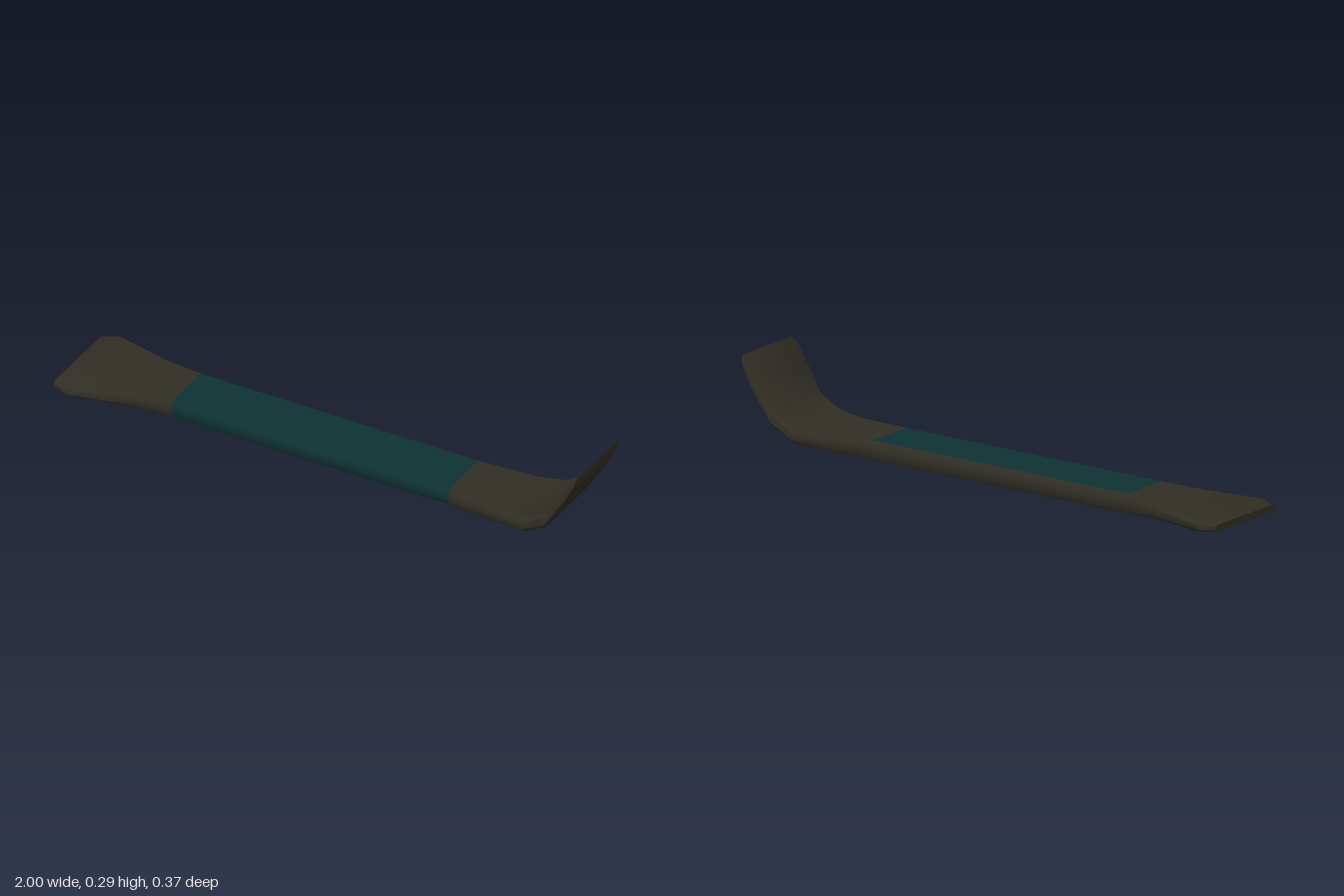
import * as THREE from 'three';
import { toCreasedNormals } from 'three/addons/utils/BufferGeometryUtils.js';

// Cross-sections along the bar: x, underside y, top y, half width
const SECTIONS = [
  [-1, 0.026, 0.05, 0.163],
  [-0.94, 0.021, 0.055, 0.187],
  [-0.72, 0.011, 0.066, 0.125],
  [-0.58, 0.003, 0.072, 0.105],
  [0.49, 0.003, 0.072, 0.105],
  [0.7, 0.011, 0.066, 0.129],
  [0.8, 0.019, 0.075, 0.143],
  [0.88, 0.063, 0.118, 0.145],
  [0.94, 0.156, 0.204, 0.153],
  [0.987, 0.24, 0.274, 0.153],
  [1, 0.265, 0.293, 0.145],
];
const GRIP_SEGMENT = 3;
const PAINTED_SIDES = [7, 0, 1, 2]; // front bevels, front side and top

// Bevelled rectangle, starting at the lower front corner
function ring([x, lo, hi, w]) {
  const v = (hi - lo) * 0.27, h = 0.011;
  return [
    [w, lo + v], [w, hi - v], [w - h, hi], [h - w, hi],
    [-w, hi - v], [-w, lo + v], [h - w, lo], [w - h, lo],
  ].map(([z, y]) => [x, y, z]);
}

function barGeometry() {
  const rings = SECTIONS.map(ring);
  const steel = [], paint = [];

  // Long faces between neighbouring sections
  for (let i = 0; i < rings.length - 1; i++) {
    for (let j = 0; j < 8; j++) {
      const k = (j + 1) % 8;
      const [a, b, c, d] = [rings[i][j], rings[i + 1][j], rings[i + 1][k], rings[i][k]];
      const painted = i === GRIP_SEGMENT && PAINTED_SIDES.includes(j);
      (painted ? paint : steel).push(a, b, c, a, c, d);
    }
  }

  // End caps
  const first = rings[0], last = rings[rings.length - 1];
  for (let j = 1; j < 7; j++) {
    steel.push(first[0], first[j], first[j + 1]);
    steel.push(last[0], last[j + 1], last[j]);
  }

  const geometry = new THREE.BufferGeometry();
  geometry.setAttribute('position', new THREE.Float32BufferAttribute([...steel, ...paint].flat(), 3));
  geometry.addGroup(0, steel.length, 0);
  geometry.addGroup(steel.length, paint.length, 1);
  return toCreasedNormals(geometry, 0.65);
}

export function createModel() {
  const darkSteel = new THREE.MeshStandardMaterial({ color: 0x302e24 });
  darkSteel.name = 'darkSteel';
  const tealPaint = new THREE.MeshStandardMaterial({ color: 0x0f3233 });
  tealPaint.name = 'tealPaint';

  // One forged bar with a flared blade, painted grip and bent claw
  const bar = new THREE.Mesh(barGeometry(), [darkSteel, tealPaint]);
  bar.name = 'pryBar';

  const group = new THREE.Group();
  group.name = 'pryBarTool';
  group.add(bar);
  return group;
}
